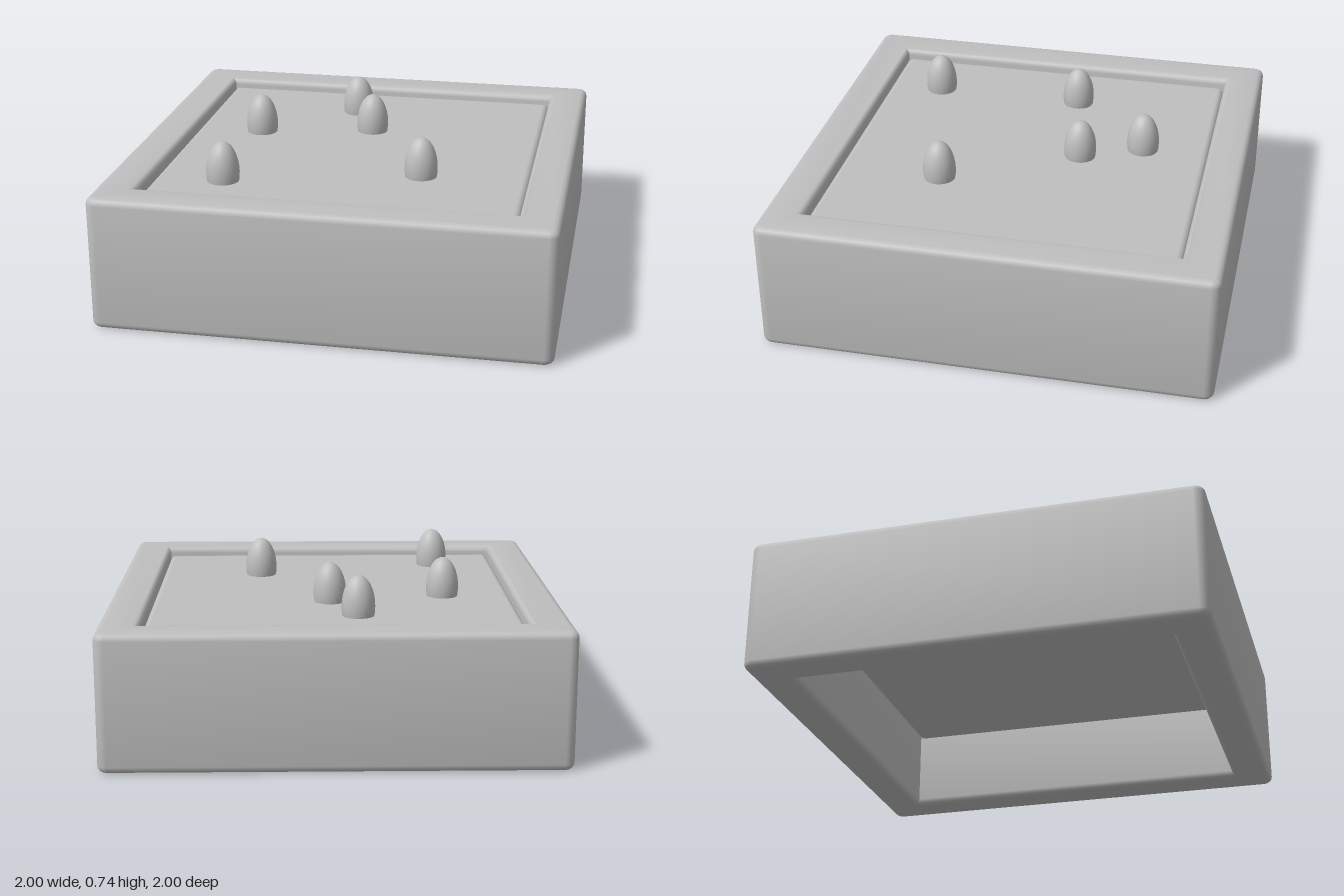
import * as THREE from 'three';
import { toCreasedNormals } from 'three/addons/utils/BufferGeometryUtils.js';
import { RoundedBoxGeometry } from 'three/addons/geometries/RoundedBoxGeometry.js';

// Square outline with rounded corners, h = half side
function roundedSquare(h, r) {
  const s = new THREE.Shape();
  s.moveTo(h, -h + r);
  s.lineTo(h, h - r);
  s.absarc(h - r, h - r, r, 0, Math.PI / 2);
  s.lineTo(-h + r, h);
  s.absarc(-h + r, h - r, r, Math.PI / 2, Math.PI);
  s.lineTo(-h, -h + r);
  s.absarc(-h + r, -h + r, r, Math.PI, Math.PI * 1.5);
  s.lineTo(h - r, -h);
  s.absarc(h - r, -h + r, r, Math.PI * 1.5, Math.PI * 2);
  return s;
}

export function createModel() {
  const model = new THREE.Group();
  const grey = new THREE.MeshStandardMaterial({ color: 0xbfbfbf });
  grey.name = 'plain grey';

  const add = (name, geometry, x, y, z) => {
    const mesh = new THREE.Mesh(geometry, grey);
    mesh.name = name;
    mesh.position.set(x, y, z);
    model.add(mesh);
  };

  // Square frame, open above and below, with softened edges
  const bevel = 0.03, height = 0.6, outer = 1, inner = 0.82;
  const outline = roundedSquare(outer - bevel, 0.015);
  const h = inner + bevel;
  outline.holes.push(new THREE.Path([[-h, -h], [-h, h], [h, h], [h, -h]].map(([x, y]) => new THREE.Vector2(x, y))));
  const frame = new THREE.ExtrudeGeometry(outline, {
    depth: height - 2 * bevel, bevelSize: bevel, bevelThickness: bevel, bevelSegments: 4, curveSegments: 4,
  });
  frame.rotateX(-Math.PI / 2);
  add('frame', toCreasedNormals(frame, 0.7), 0, bevel, 0);

  // Slab set inside the frame, a little below the rim
  add('slab', new RoundedBoxGeometry(2 * inner, 0.2, 2 * inner, 3, 0.03), 0, 0.46, 0);

  // Egg-shaped knobs rising from the slab
  const knob = new THREE.SphereGeometry(1, 24, 16);
  knob.scale(0.074, 0.14, 0.074);
  const spots = [[-0.105, -0.515], [0.015, -0.24], [-0.505, -0.135], [0.34, 0.345], [-0.51, 0.56]];
  spots.forEach(([x, z], i) => add('knob' + (i + 1), knob, x, 0.6, z));

  return model;
}
